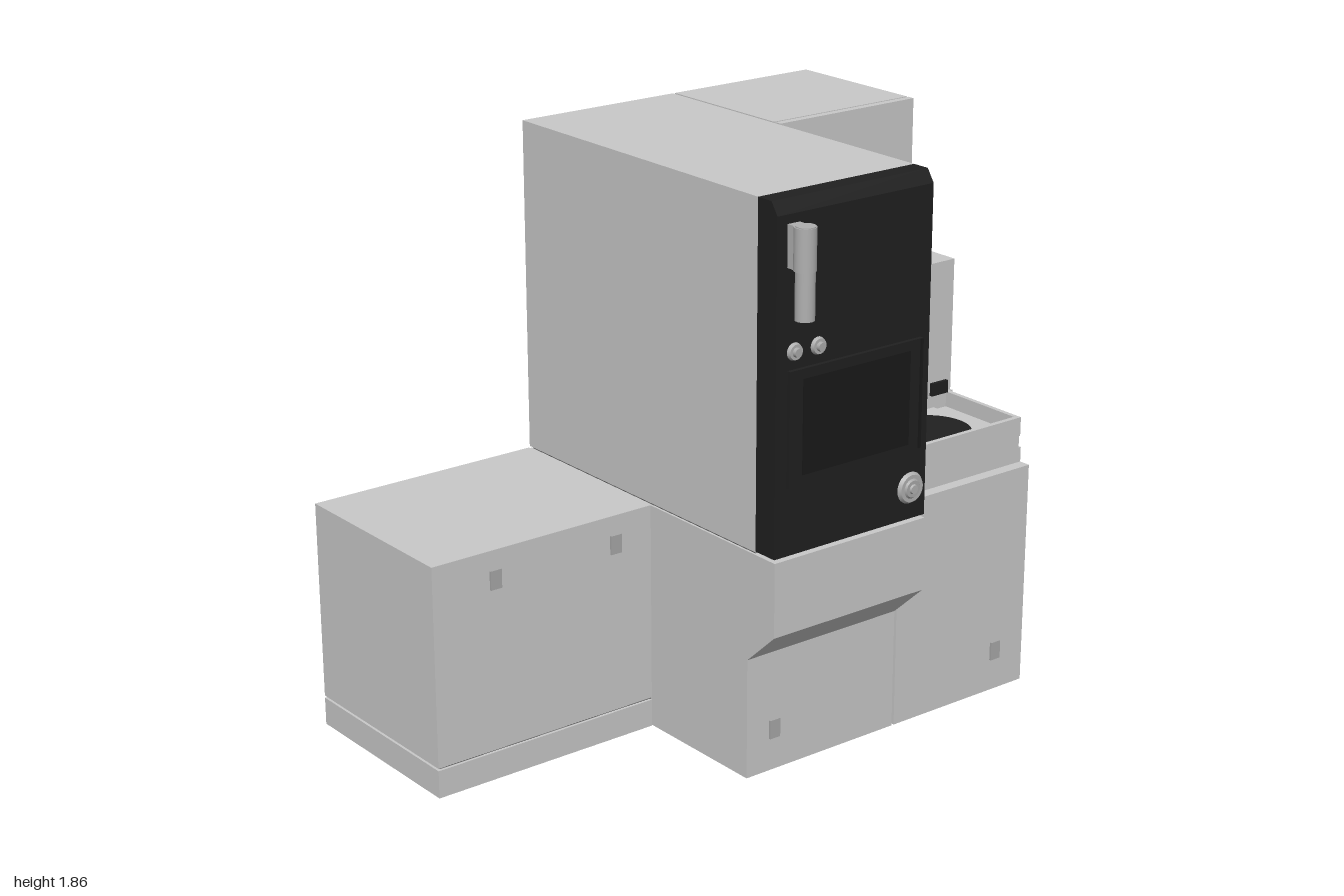
import * as THREE from 'three';

const mat = (name, hex, side = THREE.FrontSide) => {
  const m = new THREE.MeshStandardMaterial({ color: hex, side });
  m.name = name;
  return m;
};

export function createModel() {
  const root = new THREE.Group();
  root.name = 'labMachine';
  const body = mat('bodyGrey', 0xc8c8c8);
  const seam = mat('seamGrey', 0x606060);
  const black = mat('doorBlack', 0x202020);
  const screenMat = mat('screenBlack', 0x191919);
  const metal = mat('metalGrey', 0xb0b0b0);
  const latchMat = mat('latchGrey', 0xa8a8a8);

  const add = (name, geo, m, parent = root) => {
    const mesh = new THREE.Mesh(geo, m);
    mesh.name = name;
    parent.add(mesh);
    return mesh;
  };
  // Box given by its limits on each axis
  const box = (name, [x0, x1], [y0, y1], [z0, z1], m = body, parent = root) => {
    const b = add(name, new THREE.BoxGeometry(x1 - x0, y1 - y0, z1 - z0), m, parent);
    b.position.set((x0 + x1) / 2, (y0 + y1) / 2, (z0 + z1) / 2);
    return b;
  };
  // Side profile of [z, y] points, extruded across x
  const profile = (name, pts, [x0, x1], m) => {
    const shape = new THREE.Shape(pts.map(([z, y]) => new THREE.Vector2(z, y)));
    const geo = new THREE.ExtrudeGeometry(shape, { depth: x1 - x0, bevelEnabled: false });
    geo.rotateY(-Math.PI / 2);
    geo.translate(x1, 0, 0);
    return add(name, geo, m);
  };
  // Round part facing the front
  const disc = (name, x, y, z, r, depth, m, parent = root, sides = 24) => {
    const d = add(name, new THREE.CylinderGeometry(r * 0.85, r, depth, sides), m, parent);
    d.rotation.x = Math.PI / 2;
    d.position.set(x, y, z + depth / 2);
    return d;
  };

  const B = -0.67; // back plane
  const MX = [-0.183, 0.417]; // middle column width
  const RX = [0.426, 0.99]; // right cabinet width

  // Low side cabinet with plinth groove
  box('sideCabinetPlinth', [-1, -0.187], [0, 0.092], [B, -0.01]);
  box('sideCabinet', [-1, -0.187], [0.1, 0.76], [B, -0.01]);
  box('sideCabinetSeam', [-0.99, -0.18], [0.01, 0.75], [B + 0.01, -0.02], seam);

  // Middle column: base with overhanging nose, tall upper body
  profile('columnBase', [[B, 0], [0.465, 0], [0.465, 0.4], [0.59, 0.515], [0.59, 0.757], [B, 0.757]], MX, body);
  box('columnBody', MX, [0.765, 1.86], [B, 0.5]);
  box('columnSeam', [-0.175, 0.41], [0.7, 0.8], [B + 0.01, 0.49], seam);

  // Black front door
  profile('door', [[0.5, 0.768], [0.587, 0.768], [0.587, 1.82], [0.56, 1.86], [0.5, 1.86]], MX, black);
  box('windowFrame', [-0.14, 0.38], [0.985, 1.35], [0.58, 0.6], black);
  box('screen', [-0.09, 0.33], [1.02, 1.32], [0.6, 0.603], screenMat);
  box('windowHinge', [0.37, 0.378], [1.0, 1.35], [0.6, 0.606], screenMat);
  for (const x of [-0.115, -0.025]) {
    disc('buttonRing', x, 1.405, 0.586, 0.028, 0.012, metal);
    disc('buttonCap', x, 1.405, 0.598, 0.015, 0.01, latchMat);
  }
  disc('dialBase', 0.355, 0.87, 0.586, 0.052, 0.012, metal);
  disc('dialRing', 0.355, 0.87, 0.598, 0.032, 0.006, latchMat);
  disc('dialCap', 0.355, 0.87, 0.604, 0.016, 0.006, metal);

  // Door handle
  const grip = add('handleGrip', new THREE.CylinderGeometry(0.03, 0.03, 0.28, 24), metal);
  grip.position.set(-0.122, 1.655, 0.64);
  const sleeve = add('handleSleeve', new THREE.CylinderGeometry(0.034, 0.034, 0.13, 24), metal);
  sleeve.position.set(-0.122, 1.727, 0.638);
  box('handleBracket', [-0.145, -0.1], [1.662, 1.792], [0.575, 0.63], metal);

  // Right lower cabinet, stepped at the front
  box('rightCabinetRear', RX, [0, 0.917], [B, 0.097]);
  box('rightCabinetFront', RX, [0, 0.76], [0.097, 0.465]);
  box('platform', [0.475, 0.99], [0.76, 0.81], [0.09, 0.425]);
  box('trayBase', [0.49, 0.975], [0.81, 0.856], [0.09, 0.43]);
  box('rightSeam', [0.41, 0.98], [0.02, 0.95], [B + 0.01, 0.08], seam);
  box('panelLine', [0.98, 0.9905], [0.0, 0.917], [-0.139, -0.134], seam);

  // Right upper cabinet with a separate front door
  box('upperCabinet', RX, [0.924, 1.86], [B, -0.162]);
  box('upperDoor', RX, [0.924, 1.86], [-0.155, -0.13]);
  box('upperSeam', [0.41, 0.98], [0.9, 1.85], [B + 0.01, -0.14], seam);

  // Shoulder block and alcove side wall
  box('shoulder', [0.426, 0.982], [0.92, 1.37], [-0.13, 0.095]);
  box('alcoveWall', [0.426, 0.475], [0.76, 1.37], [0.095, 0.462]);

  // Sample tray
  box('trayFloor', [0.49, 0.975], [0.85, 0.865], [0.095, 0.43]);
  box('trayFront', [0.49, 0.975], [0.853, 0.917], [0.415, 0.432]);
  box('trayRight', [0.962, 0.978], [0.853, 0.917], [0.097, 0.432]);
  box('trayLeft', [0.49, 0.506], [0.853, 0.917], [0.097, 0.432]);
  box('trayLip', [0.481, 0.489], [0.853, 0.957], [0.097, 0.43]);
  box('trayPad', [0.565, 0.905], [0.865, 0.875], [0.1, 0.408]);
  const plate = add('roundPlate', new THREE.CylinderGeometry(0.135, 0.135, 0.008, 48), black);
  plate.position.set(0.735, 0.879, 0.265);
  for (const x of [0.55, 0.925])
    box('trayHinge', [x - 0.035, x + 0.035], [0.917, 0.96], [0.09, 0.107], black);

  // Ventilation slats on the right side
  for (let i = 0; i < 13; i++) {
    const y = 1.213 + i * 0.0143;
    box('ventSlat', [0.985, 0.993], [y, y + 0.007], [-0.33, -0.19], seam);
  }

  // Latches on fronts and on the right side
  const frontLatch = (x, y, z, w = 0.04, h = 0.062) =>
    box('frontLatch', [x - w / 2, x + w / 2], [y - h / 2, y + h / 2], [z - 0.01, z + 0.007], latchMat);
  for (const x of [-0.775, -0.325]) frontLatch(x, 0.665, -0.01);
  for (const x of [-0.075, 0.865]) frontLatch(x, 0.14, 0.465);
  for (const x of [0.74, 0.915]) frontLatch(x, 1.58, -0.13, 0.02, 0.03);
  for (const [z, y] of [[-0.065, 0.14], [-0.56, 0.14], [-0.22, 0.922], [-0.565, 0.922]])
    box('sideLatch', [0.98, 0.998], [y - 0.031, y + 0.031], [z - 0.02, z + 0.02], latchMat);

  return root;
}
